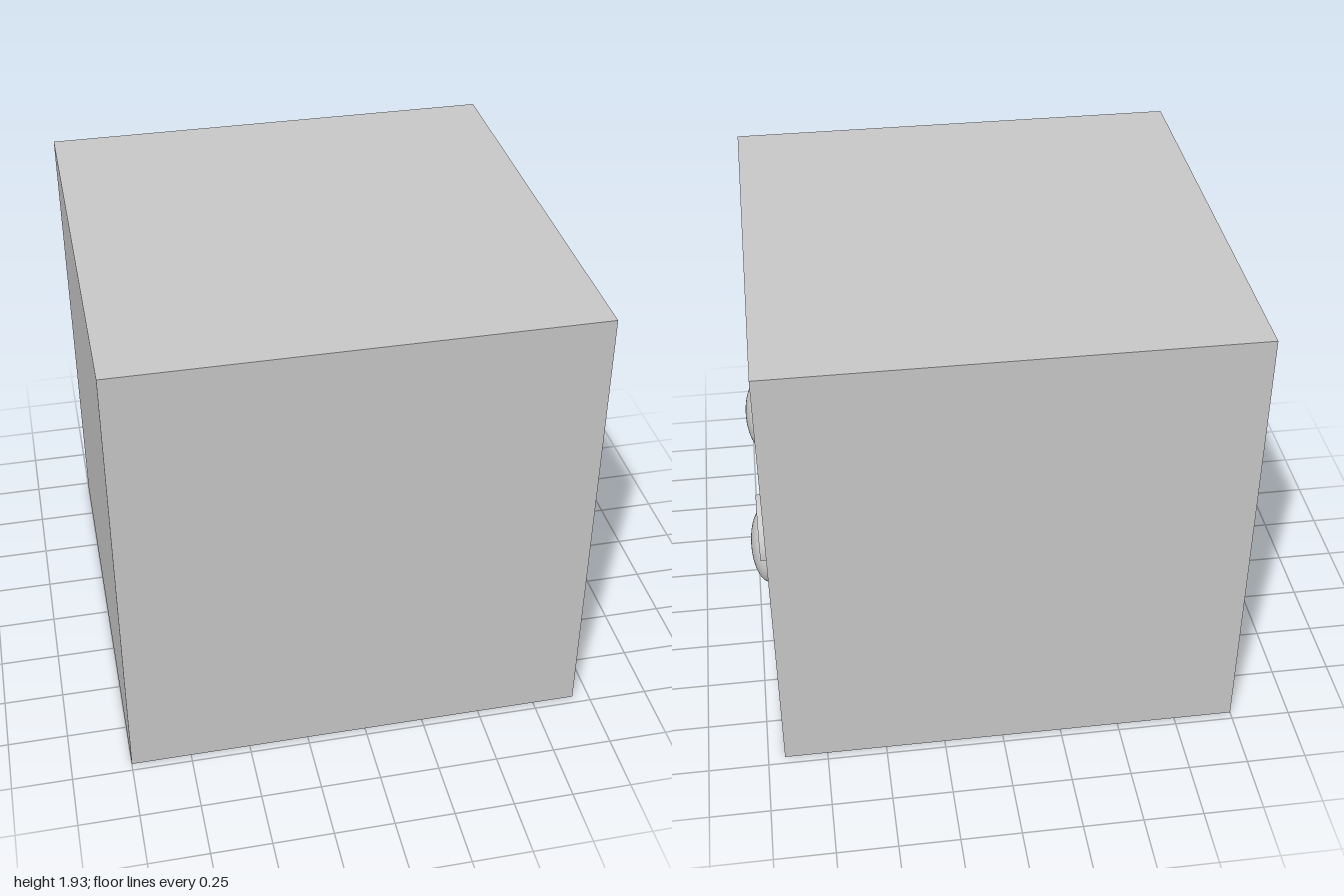
import * as THREE from 'three';

const material = new THREE.MeshStandardMaterial({ color: 0xcccccc });
const FACE_X = 0.93; // plane of the side that carries the face

function addMesh(group, name, geometry) {
  const mesh = new THREE.Mesh(geometry, material);
  mesh.name = name;
  group.add(mesh);
  return mesh;
}

// Curved brow: a quarter ring with separately trimmed outer and inner ends (degrees)
function browGeometry(outerFrom, outerTo, innerFrom, innerTo) {
  const rad = THREE.MathUtils.degToRad;
  const shape = new THREE.Shape();
  shape.absarc(0, 0, 0.185, rad(outerFrom), rad(outerTo), false);
  shape.absarc(0, 0, 0.15, rad(innerTo), rad(innerFrom), true);
  shape.closePath();
  return new THREE.ExtrudeGeometry(shape, { depth: 0.03, bevelEnabled: false, curveSegments: 12 });
}

export function createModel() {
  const model = new THREE.Group();
  model.name = 'cubeWithFace';

  // Cube body
  const body = addMesh(model, 'body', new THREE.BoxGeometry(1.93, 1.935, 1.93));
  body.position.set(-0.035, 0.9675, 0);

  // Domed eyes, flattened along x and half sunk into the side
  for (const [name, z] of [['frontEye', 0.48], ['backEye', -0.455]]) {
    const eye = addMesh(model, name, new THREE.SphereGeometry(0.16, 48, 32));
    eye.scale.x = 0.07 / 0.16;
    eye.position.set(FACE_X, 0.75, z);
  }

  // Raised brows above the outer corners of the eyes
  const brows = [
    ['frontBrow', 0.532, browGeometry(82, 177, 88, 176)],
    ['backBrow', -0.527, browGeometry(0, 94, 4, 95)],
  ];
  for (const [name, z, geometry] of brows) {
    const brow = addMesh(model, name, geometry);
    brow.rotation.y = Math.PI / 2;
    brow.position.set(FACE_X, 0.88, z);
  }

  return model;
}
